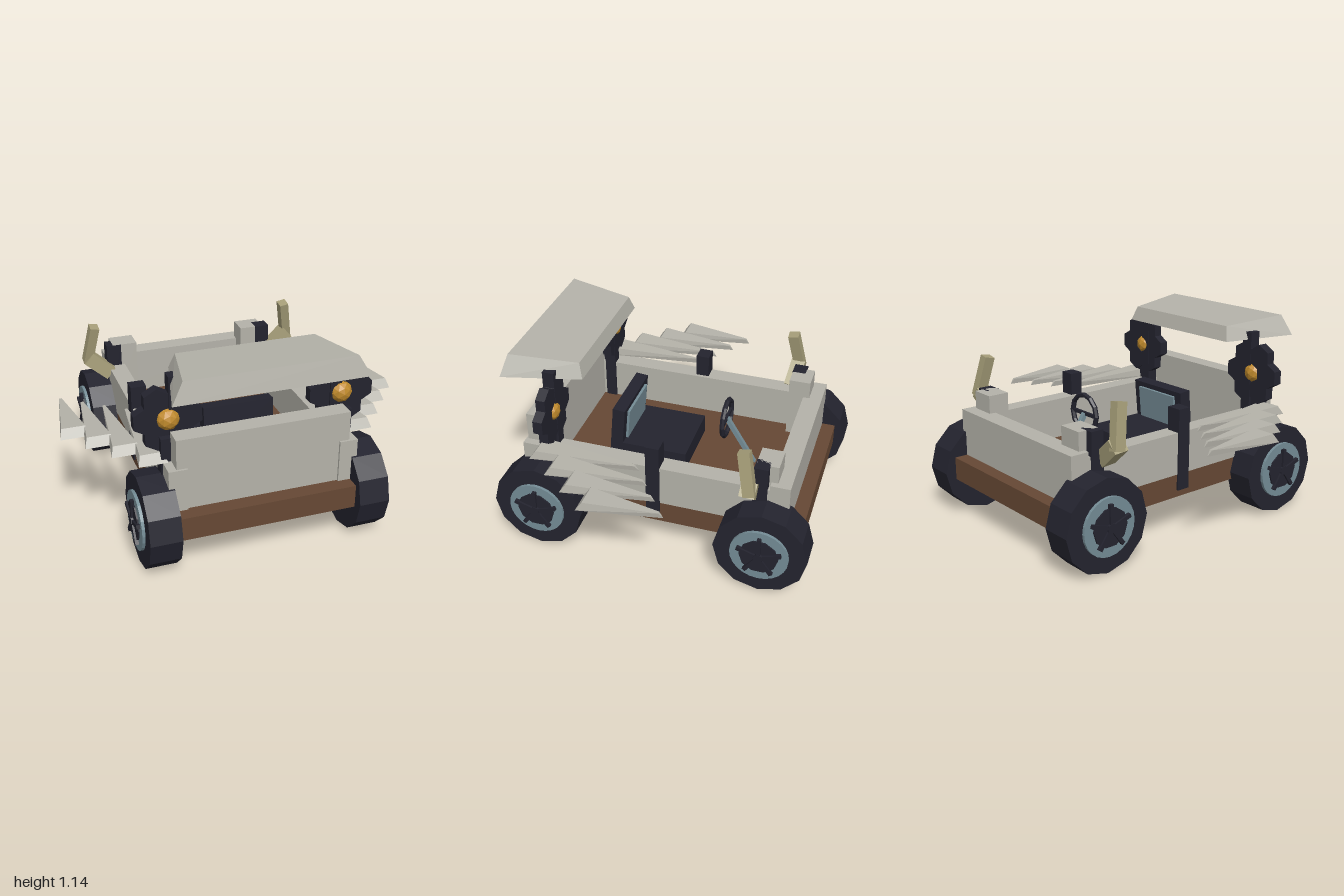
import * as THREE from 'three';
import { ConvexGeometry } from 'three/addons/geometries/ConvexGeometry.js';

const mat = (name, color) => {
  const m = new THREE.MeshStandardMaterial({ color, flatShading: true });
  m.name = name;
  return m;
};

export function createModel() {
  const model = new THREE.Group();
  model.name = 'openBuggy';
  const bone = mat('pale grey', 0xb4b2a9);
  const wood = mat('brown', 0x664834);
  const black = mat('dark', 0x23232e);
  const steel = mat('blue grey', 0x748c95);
  const amber = mat('amber', 0xc08a2c);
  const horn = mat('horn', 0xa59d78);

  const add = (name, geo, material, parent = model) => {
    const m = new THREE.Mesh(geo, material);
    m.name = name;
    parent.add(m);
    return m;
  };
  // Box from its minimum and maximum corners
  const box = (name, material, [x0, x1], [y0, y1], [z0, z1], parent) => {
    const m = add(name, new THREE.BoxGeometry(Math.abs(x1 - x0), y1 - y0, z1 - z0), material, parent);
    m.position.set((x0 + x1) / 2, (y0 + y1) / 2, (z0 + z1) / 2);
    return m;
  };
  // Square bar between two points
  const bar = (name, material, a, b, w, d) => {
    const p = new THREE.Vector3(...a), q = new THREE.Vector3(...b);
    const m = add(name, new THREE.BoxGeometry(w, p.distanceTo(q), d), material);
    m.position.copy(p).lerp(q, 0.5);
    m.quaternion.setFromUnitVectors(new THREE.Vector3(0, 1, 0), q.sub(p).normalize());
    return m;
  };
  const hull = (name, material, pts) =>
    add(name, new ConvexGeometry(pts.map((p) => new THREE.Vector3(...p))), material);

  // Body
  box('chassis', wood, [-0.53, 0.53], [0.22, 0.355], [-0.855, 0.855]);
  box('frontPanel', bone, [-0.488, 0.488], [0.355, 0.77], [0.66, 0.765]);
  box('rearPanel', bone, [-0.534, 0.534], [0.355, 0.63], [-0.775, -0.663]);

  // Canopy: tapered slab, narrower towards the back
  hull('canopy', bone, [1, -1].flatMap((s) => [
    [s * 0.535, 1.025, 0.875], [s * 0.425, 1.025, 0.432],
    [s * 0.47, 1.14, 0.845], [s * 0.395, 1.11, 0.457],
  ]));

  // Seat
  box('seatBase', black, [-0.207, 0.207], [0.355, 0.47], [-0.09, 0.36]);
  const back = new THREE.Group();
  back.name = 'seatBack';
  back.position.set(0, 0.4, 0.342);
  back.rotation.x = -0.09;
  model.add(back);
  box('backrest', black, [-0.207, 0.207], [0, 0.3], [-0.037, 0.037], back);
  box('backrestPad', steel, [-0.155, 0.155], [0.08, 0.27], [-0.052, -0.036], back);

  // Steering
  const wheelRim = add('steeringWheel', new THREE.TorusGeometry(0.11, 0.015, 6, 12), black);
  wheelRim.position.set(0, 0.635, -0.28);
  bar('steeringColumn', steel, [0, 0.35, -0.455], [0, 0.635, -0.28], 0.026, 0.026);
  box('steeringSpoke', black, [-0.105, 0.105], [0.625, 0.645], [-0.288, -0.272]);

  for (const s of [1, -1]) {
    // Sides and posts
    box('sideWall', bone, [s * 0.43, s * 0.534], [0.355, 0.6], [-0.773, 0.778]);
    box('rearCornerPost', bone, [s * 0.35, s * 0.5], [0.355, 0.735], [-0.7, -0.573]);
    for (const z of [-0.61, 0, 0.63])
      box('sidePost', black, [s * 0.45, s * 0.541], [0.26, 0.735], [z - 0.04, z + 0.04]);
    box('canopyPole', black, [s * 0.42, s * 0.485], [0.355, 1.07], [0.575, 0.642]);

    // Lamp: ring of hexagonal lobes around an amber bulb
    const lamp = new THREE.Group();
    lamp.name = 'lamp';
    lamp.position.set(s * 0.488, 0.83, 0.605);
    model.add(lamp);
    for (let i = 0; i < 6; i++) {
      const a = (i * Math.PI) / 3;
      const lobe = add('lampLobe', new THREE.CylinderGeometry(0.077, 0.077, 0.055, 6), black, lamp);
      lobe.rotation.x = Math.PI / 2;
      lobe.position.set(0.117 * Math.cos(a), 0.117 * Math.sin(a), 0);
    }
    const bulb = add('bulb', new THREE.IcosahedronGeometry(0.065, 1), amber, lamp);
    bulb.position.z = 0.013;

    // Swept side blades
    for (let i = 0; i < 4; i++) {
      const x = 0.914 - i * 0.11, z = 0.27 + i * 0.137, tip = -0.19 + i * 0.083;
      hull('sideBlade', bone, [
        [s * (x - 0.077), 0.6, z], [s * (x + 0.08), 0.6, z], [s * x, 0.6, tip],
        [s * (x - 0.066), 0.65, z - 0.035], [s * (x + 0.066), 0.65, z - 0.035],
        [s * (x - 0.008), 0.632, tip + 0.025], [s * (x + 0.008), 0.632, tip + 0.025],
      ]);
    }

    // Rear horn in two segments
    bar('hornBase', horn, [s * 0.53, 0.57, -0.553], [s * 0.66, 0.68, -0.57], 0.085, 0.085);
    bar('hornTip', horn, [s * 0.665, 0.65, -0.582], [s * 0.62, 0.895, -0.533], 0.055, 0.065);

    // Wheels
    for (const z of [0.655, -0.655]) {
      const wheel = new THREE.Group();
      wheel.name = z > 0 ? 'frontWheel' : 'rearWheel';
      wheel.position.set(0, 0.265, z);
      model.add(wheel);
      const disc = (name, material, r, x0, x1, sides) => {
        const d = add(name, new THREE.CylinderGeometry(r, r, x1 - x0, sides), material, wheel);
        d.rotation.z = Math.PI / 2;
        d.position.x = (s * (x0 + x1)) / 2;
      };
      disc('tyre', black, 0.265, 0.503, 0.678, 12);
      disc('rim', steel, 0.165, 0.66, 0.695, 24);
      disc('hub', black, 0.11, 0.68, 0.704, 10);
      disc('hubCap', black, 0.03, 0.69, 0.718, 5);
      for (let i = 0; i < 5; i++) {
        const a = (i * Math.PI * 2) / 5;
        const spoke = add('spoke', new THREE.BoxGeometry(0.025, 0.13, 0.022), black, wheel);
        spoke.position.set(s * 0.703, 0.065 * Math.cos(a), 0.065 * Math.sin(a));
        spoke.rotation.x = a;
      }
    }
  }
  return model;
}
